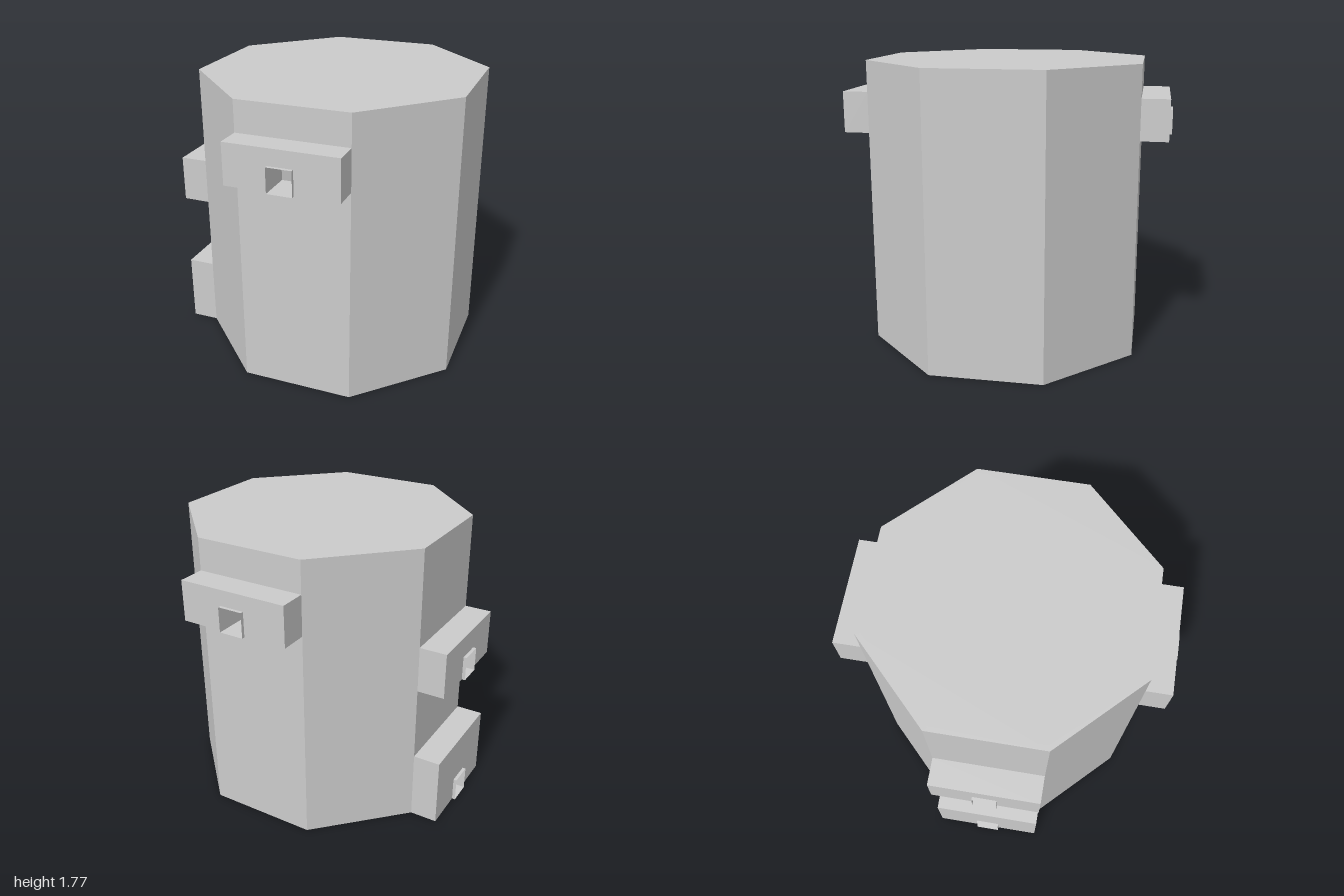
import * as THREE from 'three';

const H = 1.77, APOTHEM = 0.815, RADIUS = APOTHEM / Math.cos(Math.PI / 8);
const FACE = 2 * APOTHEM * Math.tan(Math.PI / 8);
const WALL = 0.03, DOOR = 0.15, COLUMN = 0.305;

const mat = new THREE.MeshStandardMaterial({ color: 0xcccccc, flatShading: true, side: THREE.DoubleSide });

function add(parent, name, geometry, x = 0, y = 0, z = 0) {
  const mesh = new THREE.Mesh(geometry, mat);
  mesh.name = name;
  mesh.position.set(x, y, z);
  parent.add(mesh);
  return mesh;
}

const extrude = (shape, depth) => new THREE.ExtrudeGeometry(shape, { depth, bevelEnabled: false });
const polygon = (pts) => pts.map(([x, y]) => new THREE.Vector2(x, y));
const octagon = (r, turn) => Array.from({ length: 8 }, (_, i) => {
  const a = turn + i * Math.PI / 4;
  return new THREE.Vector2(r * Math.cos(a), r * Math.sin(a));
});

// One wall panel with its door openings
function wallPanel(doorBottoms) {
  const w = FACE / 2, d = DOOR / 2;
  const shape = new THREE.Shape(polygon([[-w, 0], [w, 0], [w, H], [-w, H]]));
  for (const bottom of doorBottoms) {
    const b = Math.max(bottom, 0.004);
    shape.holes.push(new THREE.Path(polygon([[-d, b], [-d, bottom + DOOR], [d, bottom + DOOR], [d, b]])));
  }
  return extrude(shape, WALL);
}

// Block standing out from the wall, with a doorway at its bottom and a thin lining
function addPorch(parent, bottom, top, depth) {
  const w = FACE / 2, d = DOOR / 2, h = top - bottom;
  const porch = new THREE.Group();
  porch.name = 'porch';
  porch.position.set(0, bottom, APOTHEM);
  parent.add(porch);
  const shape = new THREE.Shape(polygon([
    [-w, 0], [-d, 0], [-d, DOOR], [d, DOOR], [d, 0], [w, 0], [w, h], [-w, h],
  ]));
  add(porch, 'porchBlock', extrude(shape, depth));

  // Lining: the four long sides of a box, open at both ends
  const length = WALL + depth + 0.02;
  const lining = new THREE.BoxGeometry(DOOR, DOOR, length);
  lining.setIndex(Array.from(lining.index.array).slice(0, 24));
  add(porch, 'doorLining', lining, 0, DOOR / 2, length / 2 - WALL);
}

export function createModel() {
  const model = new THREE.Group();
  model.name = 'octagonalTower';
  const tower = new THREE.Group();
  tower.name = 'tower';
  tower.position.set(0.092, 0, 0.005);
  model.add(tower);

  // Porches by face index, counted round from the front: [bottom, top, depth]
  const porches = {
    0: [[1.33, 1.58, 0.155]],
    4: [[1.33, 1.575, 0.165]],
    6: [[0, 0.43, 0.167], [0.89, 1.175, 0.167]],
  };
  for (let i = 0; i < 8; i++) {
    const side = new THREE.Group();
    side.name = 'side';
    side.rotation.y = i * Math.PI / 4;
    tower.add(side);
    const list = porches[i] || [];
    add(side, 'wall', wallPanel(list.map((p) => p[0])), 0, 0, APOTHEM - WALL);
    list.forEach((p) => addPorch(side, ...p));
  }

  // Roof slab
  const roof = extrude(new THREE.Shape(octagon(RADIUS - 0.001, Math.PI / 8)), WALL).rotateX(-Math.PI / 2);
  add(tower, 'roof', roof, 0, H - WALL, 0);

  // Floor with an octagonal hole under the hollow column
  const floorShape = new THREE.Shape(octagon(RADIUS - 0.001, Math.PI / 8));
  floorShape.holes.push(new THREE.Path(octagon(COLUMN, 0).reverse()));
  add(tower, 'floor', extrude(floorShape, 0.004).rotateX(-Math.PI / 2));

  // Hollow central column, a corner towards each door
  const columnHeight = H - WALL;
  add(tower, 'column', new THREE.CylinderGeometry(COLUMN, COLUMN, columnHeight, 8, 1, true), 0, columnHeight / 2, 0);

  return model;
}
